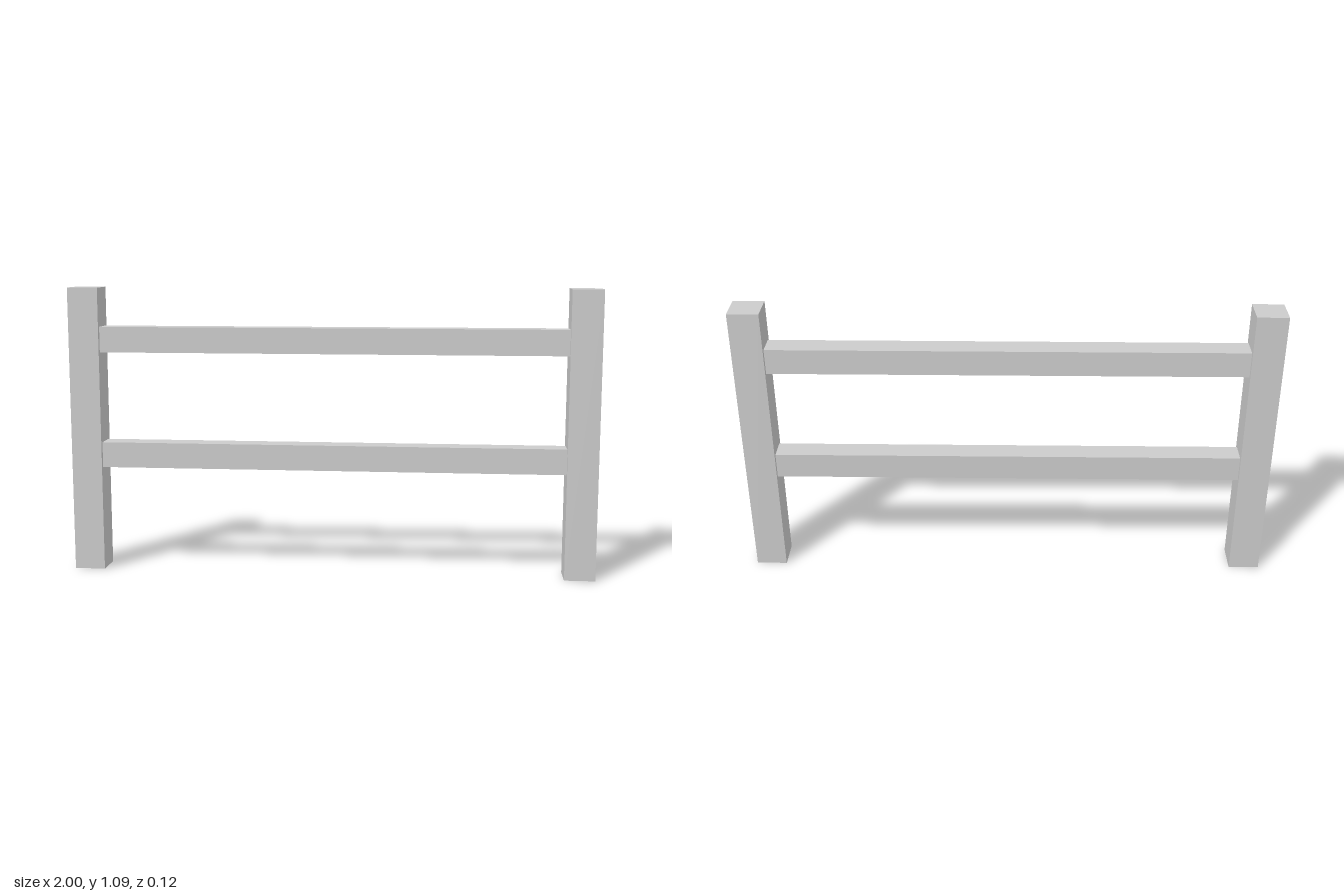
import * as THREE from 'three';

const POST_WIDTH = 0.116;
const POST_HEIGHT = 1.09;
const RAIL_HEIGHT = 0.097;
const RAIL_DEPTH = 0.085;

export function createModel() {
  const fence = new THREE.Group();
  fence.name = 'fence';
  const material = new THREE.MeshStandardMaterial({ color: 0xcccccc });

  const addBeam = (name, size, position) => {
    const beam = new THREE.Mesh(new THREE.BoxGeometry(...size), material);
    beam.name = name;
    beam.position.set(...position);
    fence.add(beam);
  };

  // Square posts at both ends
  for (const [name, side] of [['leftPost', 1], ['rightPost', -1]]) {
    addBeam(name, [POST_WIDTH, POST_HEIGHT, POST_WIDTH],
      [side * (1 - POST_WIDTH / 2), POST_HEIGHT / 2, 0]);
  }

  // Horizontal rails spanning between the posts' inner faces
  for (const [name, y] of [['lowerRail', 0.449], ['upperRail', 0.893]]) {
    addBeam(name, [2 - 2 * POST_WIDTH, RAIL_HEIGHT, RAIL_DEPTH], [0, y, 0]);
  }

  return fence;
}
